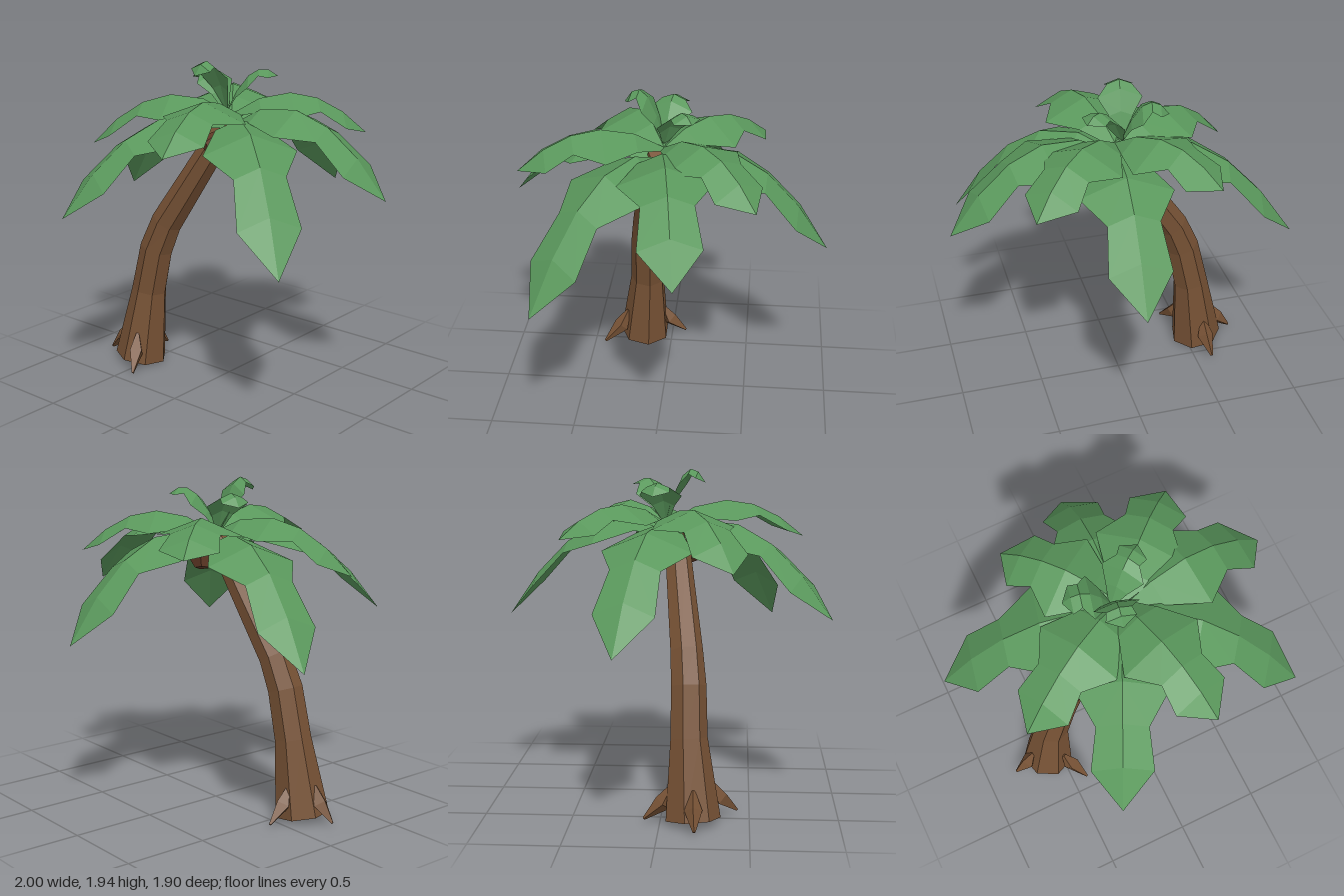
import * as THREE from 'three';

const bark = new THREE.MeshStandardMaterial({ color: 0x775235, flatShading: true });
const nutMat = new THREE.MeshStandardMaterial({ color: 0x643c28, flatShading: true });
const leafMat = new THREE.MeshStandardMaterial({ color: 0x5a985c, flatShading: true, side: THREE.DoubleSide });

function geometryFrom(vertices, index) {
  const g = new THREE.BufferGeometry();
  g.setAttribute('position', new THREE.Float32BufferAttribute(vertices.flatMap(v => v.toArray()), 3));
  g.setIndex(index);
  g.computeVertexNormals();
  return g;
}

// Sweeps an n-sided ring along a path, with its own radius at every point
function loft(path, radii, n) {
  const pts = path.map(p => new THREE.Vector3(...p));
  const verts = [], index = [], last = pts.length - 1;
  pts.forEach((p, i) => {
    const t = pts[Math.min(i + 1, last)].clone().sub(pts[Math.max(i - 1, 0)]).normalize();
    const a = new THREE.Vector3(0, 0, 1).addScaledVector(t, -t.z).normalize();
    const b = t.clone().cross(a);
    for (let k = 0; k < n; k++) {
      const w = (k / n) * Math.PI * 2;
      verts.push(p.clone().addScaledVector(a, Math.cos(w) * radii[i]).addScaledVector(b, Math.sin(w) * radii[i]));
    }
  });
  for (let i = 0; i < last; i++) {
    for (let k = 0; k < n; k++) {
      const a = i * n + k, b = i * n + (k + 1) % n;
      index.push(a, b, b + n, a, b + n, a + n);
    }
  }
  // End caps
  for (let k = 1; k < n - 1; k++) {
    index.push(0, k + 1, k, last * n, last * n + k, last * n + k + 1);
  }
  return geometryFrom(verts, index);
}

// Frond with a raised midrib, wavy outline and drooping halves
const steps = [0, 0.2, 0.43, 0.63, 0.82, 1];
const halfWidths = [0.03, 0.14, 0.265, 0.145, 0.175, 0];
function frond(origin, tip, shoulderY, scale) {
  const [o, t] = [new THREE.Vector3(...origin), new THREE.Vector3(...tip)];
  const left = new THREE.Vector3(t.z - o.z, 0, o.x - t.x).normalize();
  // Parabola through the origin, shoulder and tip heights
  const s = 0.43, rise = t.y - o.y;
  const curve = (rise - (shoulderY - o.y) / s) / (1 - s);
  const verts = [], index = [];
  steps.forEach((u, i) => {
    const c = o.clone().lerp(t, u);
    c.y = o.y + curve * u * u + (rise - curve) * u;
    const w = halfWidths[i] * scale;
    const edge = side => {
      const e = c.clone().addScaledVector(left, side * w);
      e.y -= w * 0.4;
      return e;
    };
    verts.push(c, edge(1), edge(-1));
  });
  for (let i = 0; i < steps.length - 1; i++) {
    const c = i * 3, d = c + 3;
    index.push(c, d, d + 1, c, d + 1, c + 1);
    index.push(c, c + 2, d + 2, c, d + 2, d);
  }
  return geometryFrom(verts, index);
}

export function createModel() {
  const model = new THREE.Group();
  const add = (name, geometry, material, parent = model) => {
    const mesh = new THREE.Mesh(geometry, material);
    mesh.name = name;
    parent.add(mesh);
    return mesh;
  };
  const group = name => {
    const g = new THREE.Group();
    g.name = name;
    model.add(g);
    return g;
  };

  // Leaning trunk
  add('trunk', loft([
    [-0.575, 0.02, 0.18], [-0.515, 0.47, 0.155], [-0.45, 0.75, 0.15],
    [-0.375, 0.93, 0.135], [-0.05, 1.44, 0.07], [0.03, 1.58, 0.03],
  ], [0.16, 0.108, 0.103, 0.096, 0.078, 0.06], 7), bark);

  // Pointed roots
  const roots = group('roots');
  [[-0.81, 0.2], [-0.41, 0.43], [-0.6, -0.09]].forEach(([x, z]) => {
    const at = (f, y) => [-0.57 + (x + 0.57) * f, y, 0.18 + (z - 0.18) * f];
    add('root', loft([at(0.42, 0.21), at(0.6, 0.11), at(1, 0.02)], [0.012, 0.05, 0.008], 4), bark, roots);
  });

  // Nuts under the crown
  const nuts = group('nuts');
  [[0.02, 1.465, 0.15], [0.1, 1.46, 0.06], [0.06, 1.47, -0.05]].forEach((p, i) => {
    const nut = add('nut', new THREE.DodecahedronGeometry(0.076), nutMat, nuts);
    nut.position.set(...p);
    nut.rotation.set(i, i * 1.7, 0.4);
  });

  // Lower tier: long drooping fronds
  const lower = group('lowerFronds');
  [
    [[-1, 1.0, -0.22], 1.6], [[0.1, 1.06, -0.95], 1.62], [[1, 1.24, -0.13], 1.69],
    [[0.87, 0.96, 0.65], 1.6], [[-0.41, 1.12, 0.95], 1.63],
  ].forEach(([tip, y]) => add('lowerFrond', frond([0.03, 1.56, 0.02], tip, y, 1), leafMat, lower));

  // Upper tier: shorter, flatter fronds
  const upper = group('upperFronds');
  [
    [[0.22, 1.53, 0.81], 1.75], [[-0.72, 1.41, 0.4], 1.72],
    [[0.59, 1.5, -0.54], 1.74], [[-0.43, 1.56, -0.57], 1.74],
  ].forEach(([tip, y]) => add('upperFrond', frond([0.02, 1.62, 0], tip, y, 0.97), leafMat, upper));

  // Young upright sprouts
  const sprouts = group('sprouts');
  [
    [[-0.06, 1.86, 0.23], 1.9], [[-0.28, 1.79, -0.06], 1.84], [[0.22, 1.84, -0.17], 1.84],
  ].forEach(([tip, y]) => add('sprout', frond([-0.02, 1.63, 0], tip, y, 0.48), leafMat, sprouts));

  return model;
}
